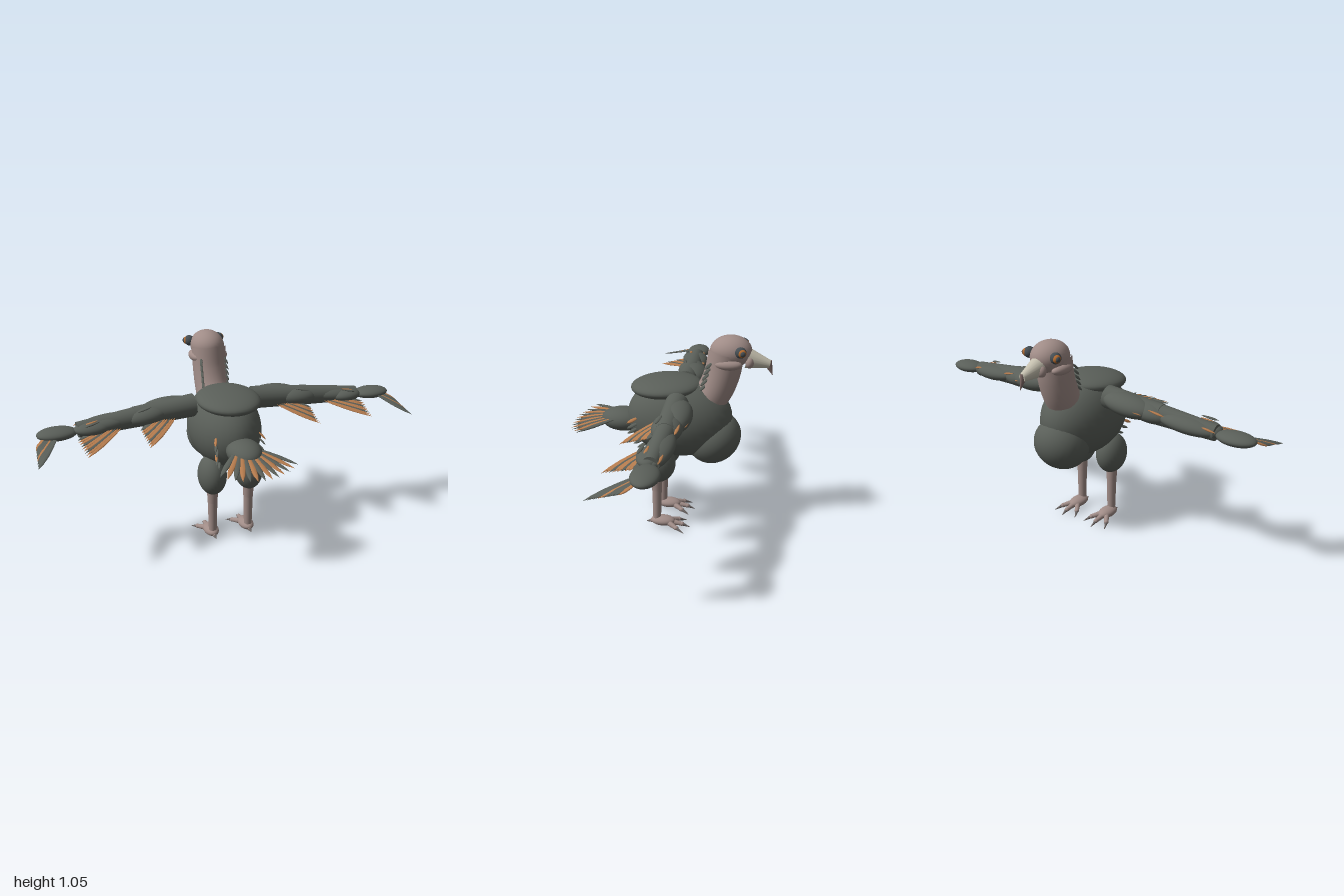
import * as THREE from 'three';

const flat = (name, color) => {
  const m = new THREE.MeshStandardMaterial({ color });
  m.name = name;
  return m;
};

export function createModel() {
  const slate = flat('slate plumage', 0x5a5f59);
  const copper = flat('copper feather', 0xb67c4e);
  const skin = flat('bare skin', 0xa08c87);
  const horn = flat('beak horn', 0xc4bfae);
  const hookMat = flat('hook', 0x806b67);
  const claw = flat('claw', 0x6d6664);
  const amber = flat('amber iris', 0xb06a30);
  const dark = flat('dark eye', 0x454d52);

  const V = (x, y, z) => new THREE.Vector3(x, y, z);
  const UP = V(0, 1, 0);
  const root = new THREE.Group();
  root.name = 'bird';

  const add = (parent, name, geo, mat) => {
    const m = new THREE.Mesh(geo, mat);
    m.name = name;
    parent.add(m);
    return m;
  };
  const ball = new THREE.SphereGeometry(1, 32, 20);
  const ellipsoid = (parent, name, mat, pos, size, rot = [0, 0, 0]) => {
    const m = add(parent, name, ball, mat);
    m.position.set(...pos);
    m.scale.set(...size);
    m.rotation.set(...rot);
    return m;
  };
  // Tapered round limb between two points
  const limb = (parent, name, mat, a, b, ra, rb) => {
    const A = V(...a), d = V(...b).sub(A);
    const m = add(parent, name, new THREE.CylinderGeometry(rb, ra, d.length(), 20), mat);
    m.position.copy(A).addScaledVector(d, 0.5);
    m.quaternion.setFromUnitVectors(UP, d.normalize());
    return m;
  };
  // Unit leaf blade along +y, stretched between two points with its flat side facing `face`
  const blade = new THREE.LatheGeometry(
    [[0, 0], [0.5, 0.12], [0.85, 0.35], [1, 0.6], [0.7, 0.82], [0, 1]].map(p => new THREE.Vector2(...p)), 8);
  const feather = (parent, name, mat, a, b, width, face = UP, thick = 0.005) => {
    const A = V(...a), d = V(...b).sub(A), len = d.length();
    d.normalize();
    const side = new THREE.Vector3().crossVectors(d, face).normalize();
    const normal = new THREE.Vector3().crossVectors(side, d);
    const m = add(parent, name, blade, mat);
    m.quaternion.setFromRotationMatrix(new THREE.Matrix4().makeBasis(side, d, normal));
    m.scale.set(width, len, thick);
    m.position.copy(A);
  };

  // Torso
  ellipsoid(root, 'body', slate, [0, 0.605, -0.055], [0.185, 0.212, 0.276]);
  ellipsoid(root, 'mantle', slate, [0, 0.772, 0.015], [0.165, 0.052, 0.185], [0.06, 0, 0]);
  ellipsoid(root, 'breast', slate, [0, 0.497, -0.237], [0.143, 0.13, 0.148], [0.7, 0, 0]);

  // Neck and head
  const neckPath = new THREE.CatmullRomCurve3([V(0, 0.7, -0.2), V(0, 0.78, -0.245), V(0, 0.86, -0.272), V(0, 0.97, -0.29)]);
  add(root, 'neck', new THREE.TubeGeometry(neckPath, 20, 0.091, 28), skin);
  const head = new THREE.Group();
  head.name = 'head';
  root.add(head);
  ellipsoid(head, 'skull', skin, [0, 0.972, -0.312], [0.089, 0.081, 0.106]);
  const beak = limb(head, 'beak', horn, [0, 0.94, -0.395], [0, 0.913, -0.508], 0.052, 0.02);
  beak.scale.x = 0.9;
  const hook = limb(head, 'beakHook', hookMat, [0, 0.925, -0.494], [0, 0.857, -0.523], 0.024, 0.001);
  hook.scale.x = 0.6;
  for (const s of [1, -1]) {
    ellipsoid(head, 'cheekFold', skin, [s * 0.07, 0.921, -0.305], [0.033, 0.028, 0.068]);
    ellipsoid(head, 'beakBasePad', skin, [s * 0.03, 0.926, -0.408], [0.025, 0.03, 0.022]);
    ellipsoid(head, 'eyeSocket', dark, [s * 0.083, 0.99, -0.366], [0.026, 0.028, 0.028]);
    ellipsoid(head, 'iris', amber, [s * 0.096, 0.99, -0.373], [0.018, 0.021, 0.021]);
    ellipsoid(head, 'pupil', dark, [s * 0.106, 0.99, -0.377], [0.011, 0.014, 0.014]);
  }

  // Ruff tufts on the nape
  for (const s of [1, -1])
    for (let i = 0; i < 5; i++) {
      const y = 0.79 + i * 0.029, z = -0.175 - i * 0.007;
      feather(root, 'ruffFeather', slate, [s * 0.064, y + 0.022, z - 0.025], [s * 0.074, y - 0.015, z + 0.014], 0.01, V(s, 0, 1));
    }

  // Tail
  const tail = new THREE.Group();
  tail.name = 'tail';
  root.add(tail);
  ellipsoid(tail, 'tailBase', slate, [0, 0.572, 0.245], [0.088, 0.062, 0.117]);
  for (let i = 0; i < 13; i++) {
    const t = i / 6 - 1, a = t * 0.68;
    const at = (r, y) => [Math.sin(a) * r, y, 0.2 + Math.cos(a) * r];
    feather(tail, 'tailFeather', i % 2 ? copper : slate, at(0.07, 0.595), at(0.322, 0.54 + 0.02 * t * t), 0.016, UP, 0.006);
  }

  for (const s of [1, -1]) {
    const P = (x, y, z) => [s * x, y, z];

    // Wing arm
    const wing = new THREE.Group();
    wing.name = s > 0 ? 'leftWing' : 'rightWing';
    root.add(wing);
    limb(wing, 'upperArmBone', slate, P(0.16, 0.735, -0.065), P(0.48, 0.712, -0.06), 0.06, 0.053);
    limb(wing, 'forearmBone', slate, P(0.46, 0.712, -0.06), P(0.77, 0.69, -0.045), 0.053, 0.04);
    ellipsoid(wing, 'shoulderCovert', slate, P(0.305, 0.728, -0.085), [0.15, 0.056, 0.078], [0, 0, -s * 0.08]);
    ellipsoid(wing, 'elbowCovert', slate, P(0.42, 0.715, -0.06), [0.12, 0.052, 0.075], [0, 0, -s * 0.08]);
    ellipsoid(wing, 'forearmCovert', slate, P(0.63, 0.7, -0.06), [0.16, 0.042, 0.066], [0, -s * 0.1, -s * 0.08]);
    ellipsoid(wing, 'wristCovert', slate, P(0.7, 0.695, -0.03), [0.09, 0.035, 0.06]);
    ellipsoid(wing, 'hand', slate, P(0.87, 0.686, -0.042), [0.1, 0.031, 0.065]);

    // Flight feathers: [first root, last root, first tip, last tip, count, copper rule, width]
    const fans = [
      [[0.28, 0.7, -0.005], [0.38, 0.7, -0.02], [0.46, 0.63, 0.165], [0.47, 0.67, 0.03], 9, i => i % 3 !== 2, 0.016],
      [[0.56, 0.685, -0.005], [0.66, 0.685, -0.02], [0.765, 0.63, 0.175], [0.785, 0.665, 0.03], 9, i => i % 3 !== 2, 0.016],
      [[0.875, 0.685, 0], [0.93, 0.685, -0.02], [0.998, 0.617, 0.195], [0.985, 0.65, 0.05], 8, i => i % 4 === 3, 0.015],
    ];
    for (const [r0, r1, t0, t1, n, isCopper, w] of fans)
      for (let i = 0; i < n; i++) {
        const k = i / (n - 1);
        const mix = (a, b) => a.map((v, j) => (v + (b[j] - v) * k) * (j ? 1 : s));
        feather(wing, 'flightFeather', isCopper(i) ? copper : slate, mix(r0, r1), mix(t0, t1), w);
      }

    // Loose coverts along the leading and upper wing
    for (const [x, y, z] of [[0.29, 0.755, -0.14], [0.33, 0.735, -0.15], [0.44, 0.745, -0.12], [0.55, 0.73, -0.105],
      [0.64, 0.73, -0.08], [0.7, 0.72, -0.09], [0.4, 0.765, -0.05], [0.67, 0.735, -0.02]]) {
      feather(wing, 'covertFeather', copper, P(x, y, z), P(x + 0.085, y - 0.018, z + 0.01), 0.009);
      feather(wing, 'covertFeather', slate, P(x - 0.01, y + 0.002, z + 0.02), P(x + 0.075, y - 0.012, z + 0.04), 0.01);
    }

    // Flank tufts
    for (let i = 0; i < 6; i++) {
      const y = 0.465 + i * 0.03, z = 0.105 + 0.015 * Math.min(i, 3);
      const x = 0.185 * Math.sqrt(Math.max(0.1, 1 - ((y - 0.605) / 0.212) ** 2 - ((z + 0.055) / 0.276) ** 2));
      feather(root, 'flankFeather', i % 3 === 2 ? copper : slate, P(x - 0.01, y + 0.015, z - 0.01), P(x + 0.012, y - 0.014, z + 0.05), 0.01, V(s, 0.6, 0.5));
    }

    // Leg
    const leg = new THREE.Group();
    leg.name = s > 0 ? 'leftLeg' : 'rightLeg';
    root.add(leg);
    ellipsoid(leg, 'thigh', slate, P(0.102, 0.376, 0.047), [0.075, 0.11, 0.096]);
    limb(leg, 'upperShin', skin, P(0.102, 0.215, 0.05), P(0.102, 0.3, 0.052), 0.026, 0.031);
    limb(leg, 'lowerShin', skin, P(0.102, 0.03, 0.05), P(0.102, 0.22, 0.05), 0.021, 0.026);
    ellipsoid(leg, 'foot', skin, P(0.102, 0.032, 0.018), [0.04, 0.027, 0.066]);
    for (const d of [-1, 0, 1]) {
      const tx = 0.102 + d * 0.05, tz = d ? -0.06 : -0.085;
      limb(leg, 'toe', skin, P(0.102 + d * 0.018, 0.028, -0.015), P(tx, 0.018, tz), 0.016, 0.011);
      ellipsoid(leg, 'toeJoint', skin, P(tx, 0.018, tz), [0.012, 0.012, 0.014]);
      limb(leg, 'claw', claw, P(tx, 0.018, tz), P(tx + d * 0.022, 0.001, tz - 0.044), 0.01, 0.001);
    }
    limb(leg, 'backToe', skin, P(0.102, 0.028, 0.06), P(0.102, 0.023, 0.085), 0.015, 0.009);
    limb(leg, 'backClaw', claw, P(0.102, 0.023, 0.083), P(0.102, 0.018, 0.108), 0.009, 0.001);
  }
  return root;
}
